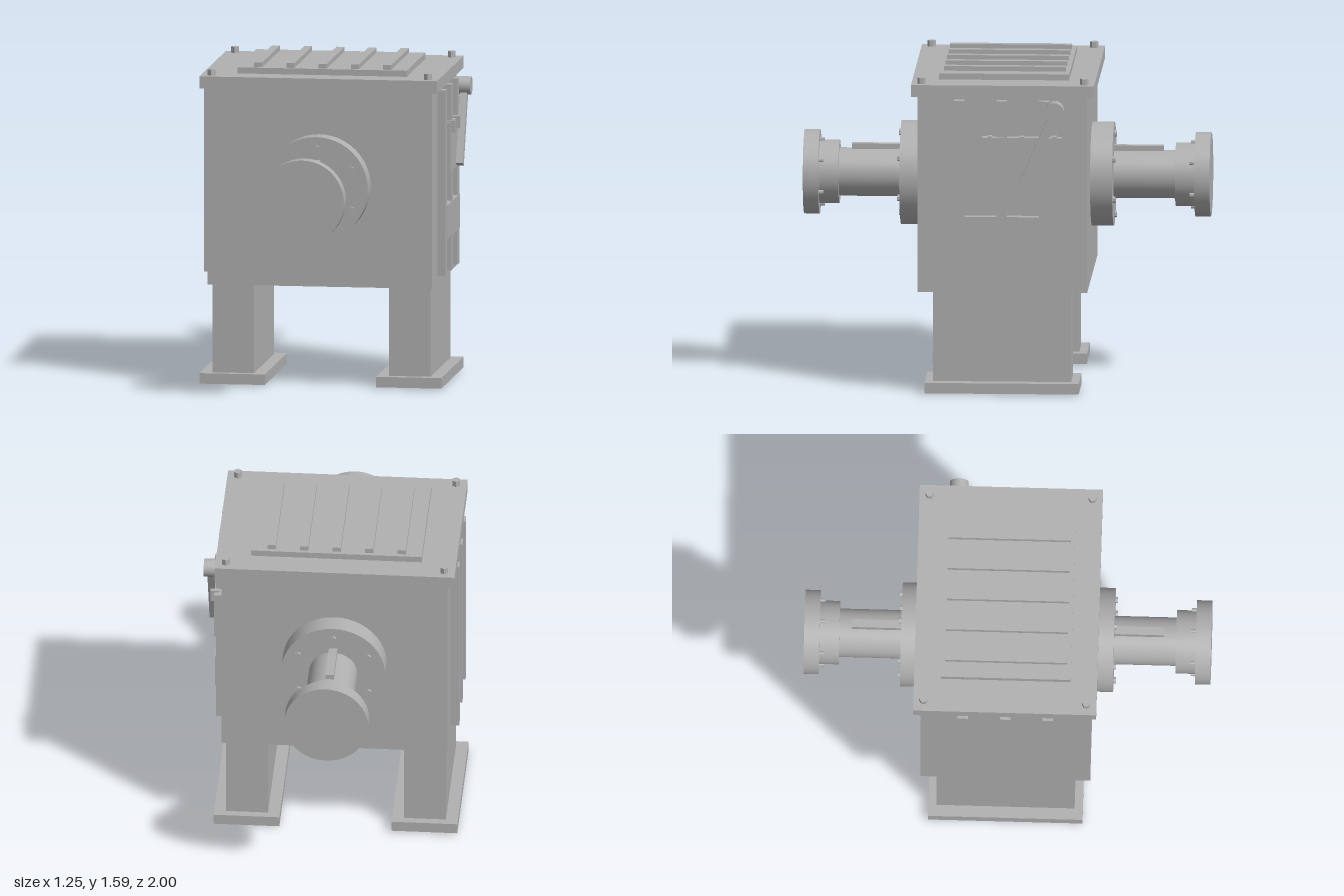
import * as THREE from 'three';

export function createModel() {
  const model = new THREE.Group();
  model.name = 'gearbox';
  const steel = new THREE.MeshStandardMaterial({ color: 0xb0b0b0 });
  steel.name = 'grey steel';

  const add = (name, geometry, parent = model) => {
    const mesh = new THREE.Mesh(geometry, steel);
    mesh.name = name;
    parent.add(mesh);
    return mesh;
  };
  // Box given by its limits on each axis
  const box = (name, x0, x1, y0, y1, z0, z1, parent = model) => {
    const mesh = add(name, new THREE.BoxGeometry(x1 - x0, y1 - y0, z1 - z0), parent);
    mesh.position.set((x0 + x1) / 2, (y0 + y1) / 2, (z0 + z1) / 2);
    return mesh;
  };
  // Cylinder along z between two depths
  const disc = (name, r, z0, z1, x, y, parent, sides = 48) => {
    const geometry = new THREE.CylinderGeometry(r, r, z1 - z0, sides).rotateX(Math.PI / 2);
    const mesh = add(name, geometry, parent);
    mesh.position.set(x, y, (z0 + z1) / 2);
    return mesh;
  };
  const hexBolt = (r, h) => new THREE.CylinderGeometry(r, r, h, 6).toNonIndexed();
  const flat = (geometry) => { geometry.computeVertexNormals(); return geometry; };

  // Housing and lid
  box('housing', -0.585, 0.53, 0.505, 1.48, -0.415, 0.42);
  box('lid', -0.62, 0.56, 1.48, 1.54, -0.45, 0.45);
  box('lidPanel', -0.45, 0.39, 1.54, 1.57, -0.32, 0.32);
  for (let i = 0; i < 5; i++) {
    const x = -0.35 + i * 0.16;
    box('lidRib', x - 0.02, x + 0.02, 1.57, 1.593, -0.3, 0.3);
  }
  for (const x of [-0.567, 0.508]) {
    for (const z of [-0.4, 0.4]) {
      add('lidBolt', flat(hexBolt(0.021, 0.03))).position.set(x, 1.555, z);
    }
  }

  // Legs on wide feet
  for (const x of [-0.467, 0.409]) {
    box('leg', x - 0.103, x + 0.103, 0, 0.505, -0.335, 0.343);
    box('foot', x - 0.162, x + 0.162, 0.006, 0.058, -0.375, 0.383);
  }

  // Vertical ribs on both sides
  for (const z of [0.213, 0.004, -0.206]) {
    box('sideRib', 0.53, 0.57, 0.543, 1.464, z - 0.026, z + 0.026);
    box('sideRib', -0.628, -0.585, 0.543, 1.464, z - 0.026, z + 0.026);
  }

  // Plates and lever on the left side
  box('namePlate', 0.53, 0.574, 0.72, 0.888, -0.231, 0.187);
  box('leverPlate', 0.53, 0.575, 1.042, 1.283, -0.292, 0.1);
  for (const z of [0.062, -0.097, -0.256]) {
    box('plateClip', 0.55, 0.595, 1.232, 1.292, z - 0.011, z + 0.011);
  }
  const lever = box('lever', 0.575, 0.61, 1.03, 1.43, -0.2, -0.16);
  lever.position.set(0.592, 1.235, -0.18);
  lever.rotation.x = -Math.atan2(0.16, 0.37);
  const knob = add('leverKnob', new THREE.CylinderGeometry(0.045, 0.045, 0.072, 24).rotateZ(Math.PI / 2));
  knob.position.set(0.59, 1.421, -0.258);

  // Shaft assembly, the same at front and back
  for (const turn of [0, Math.PI]) {
    const shaft = new THREE.Group();
    shaft.name = turn ? 'backShaft' : 'frontShaft';
    shaft.position.set(-0.029, 1.005, 0);
    shaft.rotation.y = turn;
    model.add(shaft);
    disc('bearingFlange', 0.256, 0.4, 0.523, 0, 0, shaft);
    disc('shaftBar', 0.119, 0.5, 0.85, 0, 0, shaft);
    disc('collar', 0.156, 0.827, 0.93, 0, 0, shaft);
    disc('endDisc', 0.207, 0.924, 1, 0, 0, shaft);
    box('shaftKey', -0.021, 0.021, 0.1, 0.143, 0.5, 0.767, shaft);
    for (let i = 0; i < 6; i++) {
      const a = Math.PI / 2 + i * Math.PI / 3;
      const c = Math.cos(a), s = Math.sin(a);
      const bolt = add('flangeBolt', flat(hexBolt(0.016, 0.02).rotateX(Math.PI / 2)), shaft);
      bolt.position.set(c * 0.2, s * 0.2, 0.526);
      const small = add('discBolt', flat(hexBolt(0.01, 0.03).rotateX(Math.PI / 2)), shaft);
      small.position.set(c * 0.16, s * 0.16, 0.915);
    }
  }
  return model;
}
